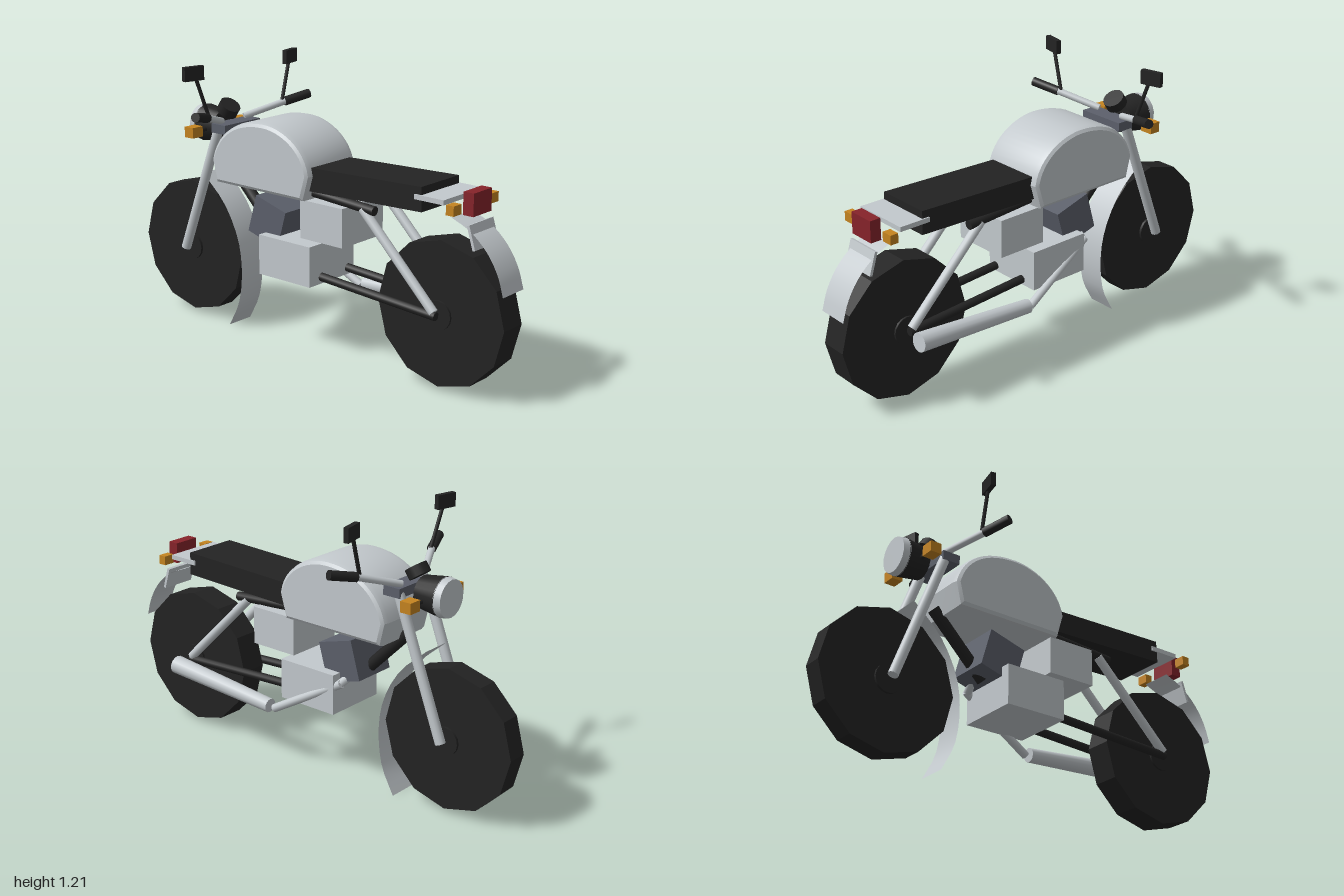
import * as THREE from 'three';
import { toCreasedNormals } from 'three/addons/utils/BufferGeometryUtils.js';

export function createModel() {
  const mat = (name, color, extra = {}) => {
    const m = new THREE.MeshStandardMaterial({ color, ...extra });
    m.name = name;
    return m;
  };
  const black = mat('black', 0x232323);
  const silver = mat('silver', 0xc3c9cd);
  const sheet = mat('silverSheet', 0xc3c9cd, { side: THREE.DoubleSide });
  const slate = mat('slate', 0x5c606b);
  const red = mat('red', 0x86232a);
  const amber = mat('amber', 0xc58420);

  const bike = new THREE.Group();
  bike.name = 'motorcycle';

  const add = (name, geometry, material, pos = [0, 0, 0], rot = [0, 0, 0]) => {
    const m = new THREE.Mesh(geometry, material);
    m.name = name;
    m.position.set(...pos);
    m.rotation.set(...rot);
    bike.add(m);
    return m;
  };
  const box = (name, material, size, pos, rot) =>
    add(name, new THREE.BoxGeometry(...size), material, pos, rot);
  // Round bar between two points, r0 at a and r1 at b
  const rod = (name, material, a, b, r0, r1 = r0, sides = 12) => {
    const A = new THREE.Vector3(...a), B = new THREE.Vector3(...b);
    const d = B.clone().sub(A);
    const m = add(name, new THREE.CylinderGeometry(r1, r0, d.length(), sides), material,
      A.clone().add(B).multiplyScalar(0.5).toArray());
    m.quaternion.setFromUnitVectors(new THREE.Vector3(0, 1, 0), d.normalize());
    return m;
  };
  // Thin curved sheet along z/y points
  const fender = (name, points, half) => {
    const curve = new THREE.CatmullRomCurve3(points.map(([z, y]) => new THREE.Vector3(0, y, z)));
    const g = new THREE.PlaneGeometry(half * 2, 1, 1, 14);
    const p = g.attributes.position;
    for (let i = 0; i < p.count; i++) {
      const c = curve.getPoint(Math.min(1, Math.max(0, 0.5 - p.getY(i))));
      p.setXYZ(i, p.getX(i), c.y, c.z);
    }
    g.computeVertexNormals();
    add(name, g, sheet);
  };

  // Wheels: faceted tyres with hubs
  for (const [name, z, half, hub] of [['front', -0.693, 0.045, 0.056], ['rear', 0.697, 0.06, 0.069]]) {
    const tyre = new THREE.CylinderGeometry(0.304, 0.304, half * 2, 12);
    add(name + 'Wheel', toCreasedNormals(tyre, 0.4), black, [0, 0.323, z], [0, 0, Math.PI / 2]);
    add(name + 'Hub', new THREE.CylinderGeometry(0.06, 0.06, hub * 2, 16), black,
      [0, 0.32, z], [0, 0, Math.PI / 2]);
  }
  fender('frontFender', [[-0.6, 0.68], [-0.47, 0.56], [-0.39, 0.41], [-0.37, 0.27], [-0.39, 0.12], [-0.45, 0.002]], 0.066);
  fender('rearFender', [[0.75, 0.73], [0.84, 0.69], [0.92, 0.62], [0.97, 0.54], [0.996, 0.46]], 0.07);

  // Fuel tank: domed profile with a bevelled edge
  const s = new THREE.Shape();
  s.moveTo(0.05, 0.698);
  s.lineTo(0.077, 0.79);
  s.bezierCurveTo(0.06, 0.9, -0.06, 0.96, -0.16, 0.96);
  s.bezierCurveTo(-0.3, 0.96, -0.41, 0.9, -0.44, 0.78);
  s.lineTo(-0.42, 0.698);
  const tank = new THREE.ExtrudeGeometry(s, {
    depth: 0.25, curveSegments: 12, bevelEnabled: true,
    bevelThickness: 0.03, bevelSize: 0.018, bevelSegments: 2,
  });
  tank.translate(0, 0, -0.125);
  tank.rotateY(-Math.PI / 2);
  // profile runs along +x before the turn, +z after it
  add('fuelTank', toCreasedNormals(tank, 0.45), silver);

  // Seat, rack and tail
  box('seat', black, [0.246, 0.1, 0.59], [0, 0.783, 0.352], [-0.03, 0, 0]);
  box('tailRack', silver, [0.258, 0.02, 0.14], [0, 0.8, 0.685]);
  box('tailLight', red, [0.12, 0.092, 0.048], [0, 0.792, 0.82]);
  box('numberPlate', silver, [0.16, 0.1, 0.012], [0, 0.668, 0.85], [-0.3, 0, 0]);

  // Engine and side boxes
  box('crankcase', silver, [0.286, 0.175, 0.285], [0, 0.405, -0.048]);
  box('sideBox', silver, [0.264, 0.165, 0.225], [0, 0.602, 0.147]);
  box('cylinderBlock', slate, [0.2, 0.172, 0.175], [0, 0.54, -0.185], [0.28, 0, 0]);
  rod('downTube', black, [0, 0.71, -0.465], [0, 0.46, -0.215], 0.026);

  // Exhaust on the left side
  rod('muffler', silver, [0.162, 0.27, 0.145], [0.162, 0.31, 0.712], 0.031, 0.041, 14);
  rod('exhaustPipe', silver, [0.157, 0.262, 0.125], [0.12, 0.455, -0.215], 0.018);
  rod('exhaustElbow', silver, [0.12, 0.45, -0.205], [0.05, 0.485, -0.225], 0.018);

  // Steering head, headlight and gauge
  box('forkClamp', slate, [0.22, 0.04, 0.08], [0, 0.905, -0.456]);
  rod('headlightShell', black, [0, 0.895, -0.53], [0, 0.895, -0.635], 0.068, 0.083, 18);
  rod('headlightLens', silver, [0, 0.895, -0.632], [0, 0.895, -0.664], 0.083, 0.078, 18);
  rod('gauge', black, [0, 0.957, -0.512], [0, 0.992, -0.488], 0.047, 0.047, 16);

  // Paired parts
  for (const [side, k] of [['left', 1], ['right', -1]]) {
    rod(side + 'ForkLeg', silver, [k * 0.088, 0.91, -0.472], [k * 0.088, 0.322, -0.696], 0.022);
    rod(side + 'Shock', silver, [k * 0.088, 0.69, 0.33], [k * 0.088, 0.335, 0.69], 0.02);
    rod(side + 'SwingArm', black, [k * 0.085, 0.32, 0.7], [k * 0.085, 0.355, 0.11], 0.018);
    rod(side + 'SeatRail', black, [k * 0.085, 0.69, 0.39], [k * 0.085, 0.715, 0.04], 0.02);
    rod(side + 'Handlebar', silver, [k * 0.07, 0.932, -0.475], [k * 0.25, 0.987, -0.383], 0.015);
    rod(side + 'Grip', black, [k * 0.24, 0.984, -0.388], [k * 0.353, 1.01, -0.343], 0.02);
    rod(side + 'MirrorStem', black, [k * 0.226, 0.983, -0.392], [k * 0.287, 1.16, -0.405], 0.008, 0.008, 8);
    box(side + 'Mirror', black, [0.093, 0.06, 0.022], [k * 0.297, 1.178, -0.408], [0, k * 0.22, 0]);
    box(side + 'FrontIndicator', amber, [0.06, 0.046, 0.05], [k * 0.143, 0.883, -0.573]);
    box(side + 'RearIndicator', amber, [0.05, 0.04, 0.036], [k * 0.124, 0.781, 0.798]);
    rod(side + 'FrontIndicatorStalk', black, [k * 0.05, 0.883, -0.573], [k * 0.12, 0.883, -0.573], 0.01, 0.01, 8);
  }
  return bike;
}
